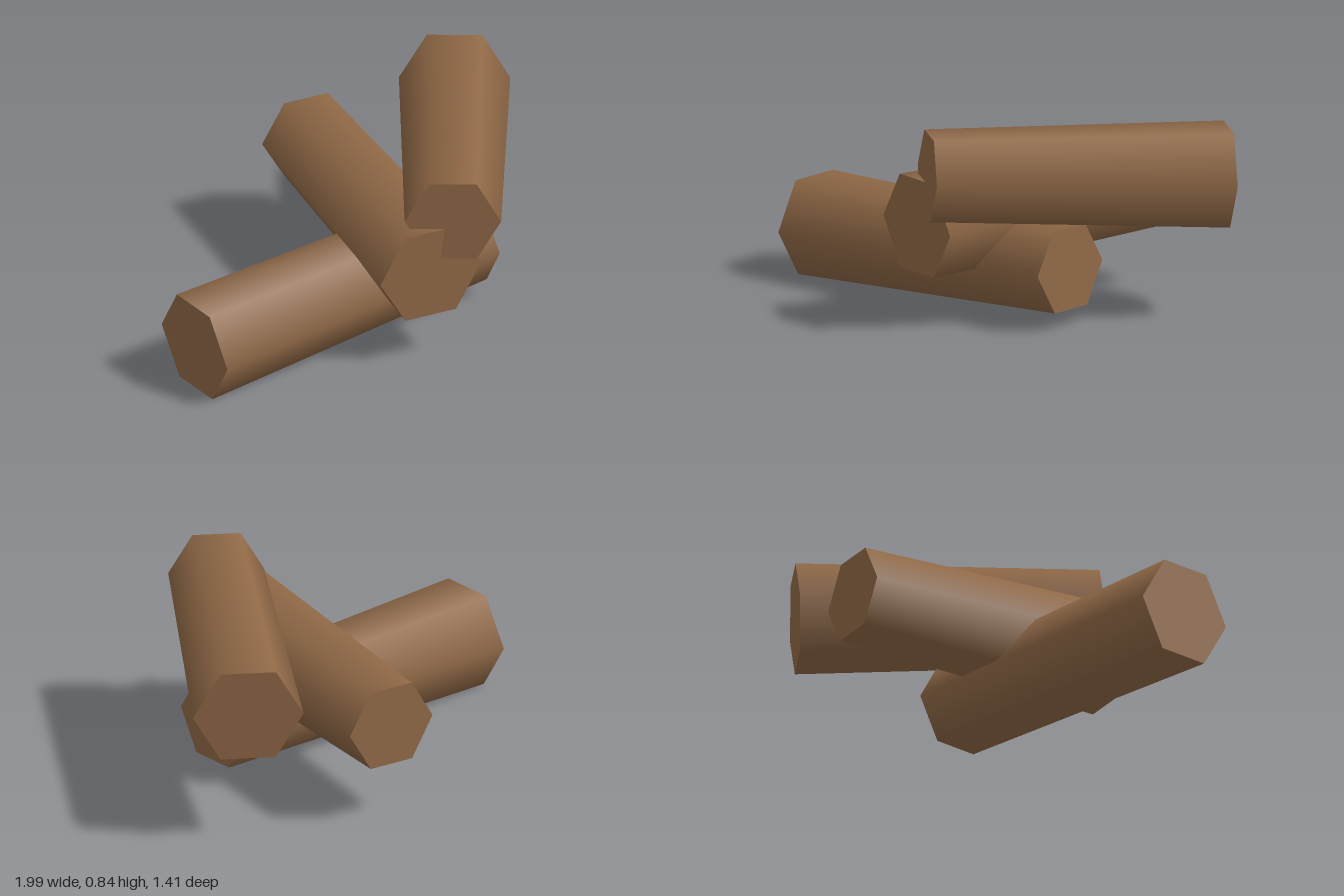
import * as THREE from 'three';

export function createModel() {
  const group = new THREE.Group();
  const wood = new THREE.MeshStandardMaterial({ color: 0x8f6846 });
  wood.name = 'brown wood';

  // Tapered six-sided log between two points, with a flat side facing up
  function addLog(name, thick, thin, thickRadius = 0.233, thinRadius = 0.202) {
    const a = new THREE.Vector3(...thick);
    const b = new THREE.Vector3(...thin);
    const axis = b.clone().sub(a);
    const geometry = new THREE.CylinderGeometry(thinRadius, thickRadius, axis.length(), 6);
    axis.normalize();
    const side = new THREE.Vector3(0, 1, 0).cross(axis).normalize();
    const up = axis.clone().cross(side);
    const log = new THREE.Mesh(geometry, wood);
    log.name = name;
    log.quaternion.setFromRotationMatrix(new THREE.Matrix4().makeBasis(up, axis, side));
    log.position.copy(a).add(b).multiplyScalar(0.5);
    group.add(log);
  }

  // Stack of three crossed logs
  addLog('bottomLog', [-0.987, 0.205, 0.112], [0.446, 0.253, 0.157]);
  addLog('middleLog', [-0.068, 0.427, 0.542], [0.21, 0.44, -0.665]);
  addLog('topLog', [0.812, 0.607, -0.425], [0.02, 0.665, 0.578]);

  group.name = 'logPile';
  return group;
}
